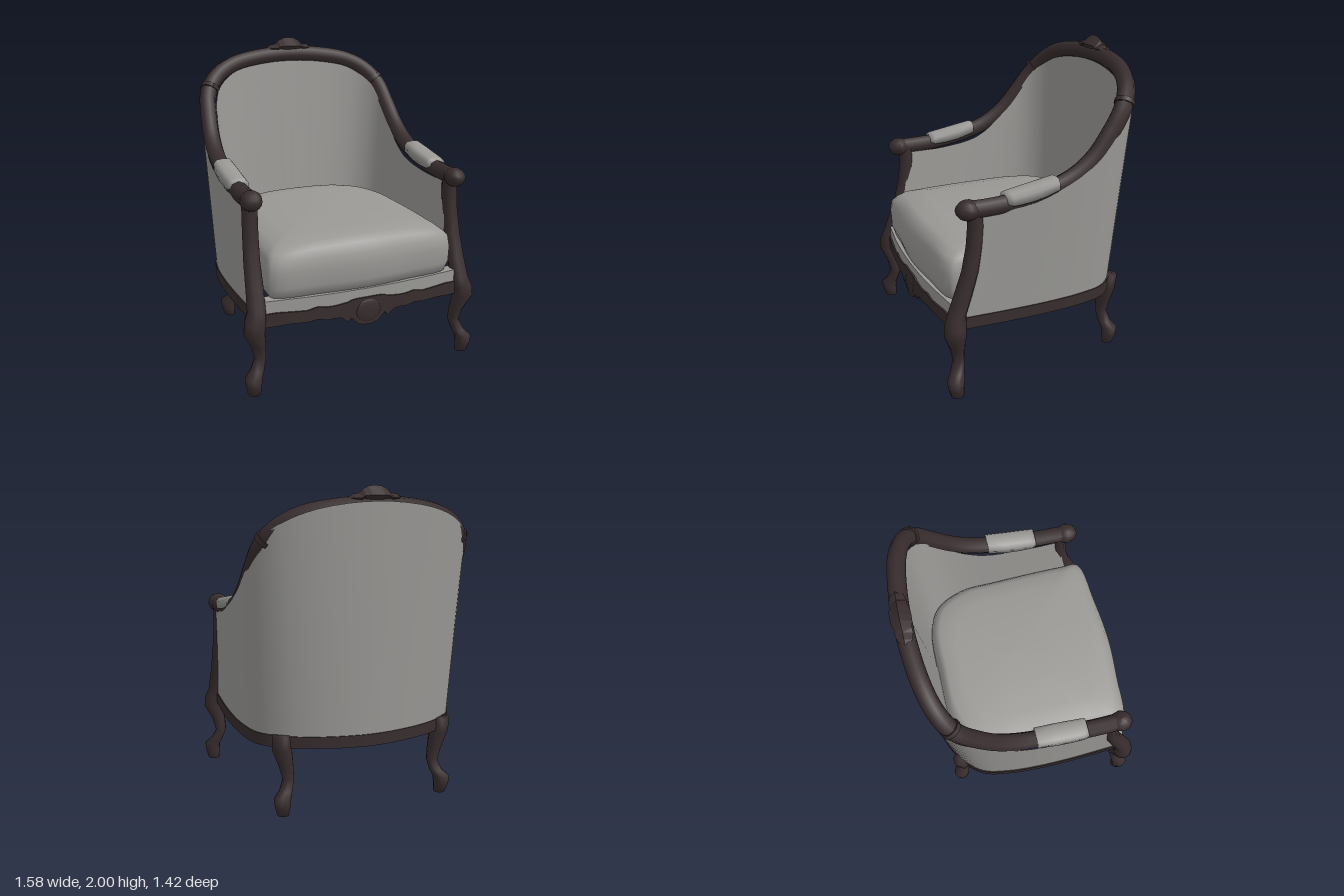
import * as THREE from 'three';

const wood = new THREE.MeshStandardMaterial({ color: 0x382d2e });
wood.name = 'dark wood';
const fabric = new THREE.MeshStandardMaterial({ color: 0x9a9996 });
fabric.name = 'grey fabric';

const V = (x, y, z) => new THREE.Vector3(x, y, z);

// Skin a list of equal-length rows of points
function skin(rows, closed) {
  const n = rows[0].length, index = [];
  for (let i = 0; i < rows.length - 1; i++) {
    for (let j = 0; j < (closed ? n : n - 1); j++) {
      const k = (j + 1) % n;
      const a = i * n + j, b = i * n + k, c = a + n, d = b + n;
      index.push(a, c, b, b, c, d);
    }
  }
  const geo = new THREE.BufferGeometry().setFromPoints(rows.flat());
  geo.setIndex(index);
  geo.computeVertexNormals();
  return geo;
}

// Hard-edged copy
function flat(geo) {
  const g = geo.toNonIndexed();
  g.computeVertexNormals();
  return g;
}

// Mirror an indexed geometry in x, keeping faces outward
function mirrored(geo) {
  const g = geo.clone().scale(-1, 1, 1);
  const idx = g.index.array;
  for (let i = 0; i < idx.length; i += 3) [idx[i], idx[i + 1]] = [idx[i + 1], idx[i]];
  g.computeVertexNormals();
  return g;
}

// Curve from the left front round the back to the right front; half ends at x = 0
function uCurve(half) {
  const left = half.map(p => V(...p));
  const right = half.slice(0, -1).reverse().map(([x, y, z]) => V(-x, y, z));
  return new THREE.CatmullRomCurve3([...left, ...right]);
}

// Upright limb from sections [y, x, z, radius]
function limb(sections) {
  return skin(sections.map(([y, x, z, r]) => Array.from({ length: 10 }, (_, j) => {
    const a = j / 10 * Math.PI * 2;
    return V(x + r * Math.cos(a), y, z + r * Math.sin(a));
  })), true);
}

// Carved strip across x: stations [x, ...] from left to the middle are mirrored,
// and section(station) gives a ring running top, front, bottom, back
function carving(stations, section) {
  const right = stations.slice(0, -1).reverse().map(([x, ...rest]) => [-x, ...rest]);
  return flat(skin([...stations, ...right].map(section), true));
}

export function createModel() {
  const chair = new THREE.Group();
  chair.name = 'armchair';
  const add = (name, geo, mat) => {
    const m = new THREE.Mesh(geo, mat);
    m.name = name;
    chair.add(m);
  };
  const pair = (name, geo, mat) => {
    add('left' + name, geo, mat);
    add('right' + name, mirrored(geo), mat);
  };

  // Continuous rail: arms sweeping up into the crown
  const rail = uCurve([
    [0.685, 1.18, 0.57], [0.69, 1.18, 0.42], [0.69, 1.19, 0.25], [0.69, 1.225, 0.05],
    [0.69, 1.285, -0.13], [0.685, 1.38, -0.27], [0.67, 1.52, -0.39], [0.64, 1.66, -0.49],
    [0.555, 1.765, -0.56], [0.42, 1.835, -0.605], [0.2, 1.875, -0.635], [0, 1.885, -0.643]]);
  add('armAndCrownRail', new THREE.TubeGeometry(rail, 96, 0.056, 8), wood);

  // Rounded arm ends and collars on the rail
  const end = new THREE.SphereGeometry(1, 10, 8).scale(0.068, 0.062, 0.075).translate(0.687, 1.18, 0.537);
  pair('ArmEnd', end, wood);
  const t = 7.25 / 22;
  const collar = new THREE.CylinderGeometry(0.064, 0.064, 0.03, 10);
  collar.applyQuaternion(new THREE.Quaternion().setFromUnitVectors(V(0, 1, 0), rail.getTangent(t)));
  const cp = rail.getPoint(t);
  pair('RailCollar', collar.translate(cp.x, cp.y, cp.z), wood);

  // Carved crest on the crown, stations [x, bottom, top, half depth]
  add('crest', carving([
    [0.175, 1.91, 1.925, 0], [0.14, 1.895, 1.95, 0.04], [0.1, 1.885, 1.955, 0.052], [0.075, 1.88, 1.98, 0.05],
    [0.04, 1.865, 1.995, 0.06], [0, 1.86, 2.0, 0.062]],
  ([x, lo, hi, d]) => [V(x, hi, -0.65), V(x, lo * 0.4 + hi * 0.6, -0.645 + d), V(x, lo, -0.635), V(x, lo * 0.4 + hi * 0.6, -0.645 - d)]), wood);

  // Front legs running up into the arm posts, and the back legs
  pair('FrontLegAndPost', limb([
    [0, 0.73, 0.64, 0], [0, 0.73, 0.64, 0.04], [0.06, 0.735, 0.65, 0.05], [0.11, 0.735, 0.65, 0.055],
    [0.15, 0.705, 0.63, 0.043], [0.22, 0.678, 0.61, 0.037], [0.3, 0.69, 0.62, 0.046],
    [0.4, 0.722, 0.642, 0.066], [0.47, 0.715, 0.638, 0.067], [0.53, 0.7, 0.625, 0.058],
    [0.65, 0.693, 0.58, 0.056], [0.8, 0.69, 0.53, 0.052], [0.95, 0.685, 0.5, 0.05],
    [1.08, 0.682, 0.487, 0.05], [1.17, 0.682, 0.49, 0.05]]), wood);
  pair('BackLeg', limb([
    [0, 0.54, -0.52, 0], [0, 0.54, -0.52, 0.037], [0.06, 0.545, -0.53, 0.05], [0.11, 0.545, -0.53, 0.055],
    [0.15, 0.517, -0.507, 0.043], [0.22, 0.495, -0.49, 0.037], [0.3, 0.508, -0.492, 0.046],
    [0.42, 0.535, -0.497, 0.063], [0.51, 0.545, -0.51, 0.055], [0.51, 0.545, -0.51, 0]]), wood);

  // Upholstered outer and inner shells
  const samples = half => uCurve(half).getPoints(64);
  const base = samples([
    [0.7, 0.5, 0.57], [0.715, 0.5, 0.25], [0.715, 0.5, 0], [0.7, 0.5, -0.2], [0.66, 0.5, -0.37],
    [0.58, 0.5, -0.47], [0.46, 0.5, -0.55], [0.27, 0.5, -0.62], [0, 0.5, -0.66]]);
  const outerTop = samples([
    [0.72, 1.16, 0.47], [0.74, 1.17, 0.2], [0.75, 1.25, -0.05], [0.74, 1.36, -0.25], [0.71, 1.58, -0.44],
    [0.655, 1.7, -0.54], [0.56, 1.79, -0.625], [0.36, 1.87, -0.69], [0, 1.91, -0.712]]);
  add('outerShell', skin([outerTop, base]), fabric);
  const innerBase = samples([
    [0.61, 0.52, 0.59], [0.605, 0.52, 0.25], [0.6, 0.52, 0], [0.585, 0.52, -0.2], [0.545, 0.52, -0.34],
    [0.48, 0.52, -0.43], [0.39, 0.52, -0.485], [0.24, 0.52, -0.51], [0, 0.52, -0.515]]);
  const innerTop = samples([
    [0.65, 1.14, 0.47], [0.645, 1.15, 0.2], [0.64, 1.2, -0.05], [0.635, 1.34, -0.24], [0.62, 1.52, -0.38],
    [0.58, 1.66, -0.47], [0.5, 1.74, -0.54], [0.33, 1.82, -0.6], [0, 1.84, -0.62]]);
  add('innerShell', skin([innerBase, innerTop]), fabric);

  // Seat rail following the sides and back
  const seatRail = base.map(p => [
    V(p.x * 1.01, 0.43, p.z * 1.01), V(p.x * 1.01, 0.505, p.z * 1.01),
    V(p.x * 0.94, 0.505, p.z * 0.94), V(p.x * 0.94, 0.43, p.z * 0.94)]);
  add('seatRail', flat(skin(seatRail, true)), wood);

  // Loose cushion, crowned on top
  const half = [[0, -0.53], [0.33, -0.52], [0.5, -0.44], [0.595, -0.25], [0.61, 0], [0.615, 0.5],
    [0.605, 0.63], [0.3, 0.675], [0, 0.695]];
  const outline = new THREE.CatmullRomCurve3([
    ...half.map(([x, z]) => V(x, 0, z)),
    ...half.slice(1, -1).reverse().map(([x, z]) => V(-x, 0, z))], true, 'centripetal').getPoints(80).slice(0, -1);
  const ring = (scale, y, crown = 0) => outline.map(p => {
    const x = p.x * scale, z = p.z * scale;
    return V(x, y - crown * (x * x / 0.37 + Math.max(0, z) ** 2 * 0.8), z);
  });
  add('cushion', skin([
    ring(0, 0.56), ring(0.88, 0.565), ring(0.97, 0.585), ring(1, 0.65), ring(1.005, 0.75), ring(0.99, 0.82),
    ring(0.95, 0.895, 0.04), ring(0.88, 0.93, 0.045), ring(0.7, 0.937, 0.035), ring(0.35, 0.942, 0.03), ring(0, 0.942)],
  true), fabric);

  // Bowed box section shared by the seat edge and the apron, stations [x, bottom, top]
  const bowed = (front, depth) => ([x, lo, hi]) => {
    const z = front - 0.05 * (x / 0.65) ** 2;
    return [V(x, hi, z), V(x, lo, z), V(x, lo, z - depth), V(x, hi, z - depth)];
  };
  add('seatEdge', carving([[0.65, 0.48, 0.585], [0.4, 0.48, 0.585], [0.2, 0.48, 0.585], [0, 0.48, 0.585]],
    bowed(0.692, 0.08)), fabric);

  // Scalloped apron with a carved shell in the middle
  add('frontApron', carving([
    [0.68, 0.42, 0.505], [0.58, 0.425, 0.51], [0.5, 0.43, 0.505], [0.4, 0.425, 0.5], [0.33, 0.435, 0.515],
    [0.27, 0.42, 0.505], [0.23, 0.425, 0.505], [0.18, 0.42, 0.51], [0.135, 0.385, 0.515], [0.115, 0.41, 0.525],
    [0.07, 0.365, 0.53], [0.03, 0.35, 0.53], [0, 0.35, 0.53]], bowed(0.702, 0.055)), wood);
  add('apronShell', new THREE.SphereGeometry(1, 10, 8).scale(0.09, 0.08, 0.015).translate(0, 0.44, 0.697), wood);

  // Domed arm pads, stations [z, bottom, top, half width]
  const pad = skin([
    [-0.02, 1.28, 1.28, 0], [-0.02, 1.24, 1.31, 0.062], [0.1, 1.205, 1.29, 0.066], [0.2, 1.19, 1.272, 0.066],
    [0.28, 1.185, 1.258, 0.064], [0.31, 1.2, 1.25, 0.06], [0.31, 1.22, 1.22, 0]].map(([z, lo, hi, w]) =>
    [[-1, 0], [-1, 0.6], [-0.7, 0.92], [0, 1], [0.7, 0.92], [1, 0.6], [1, 0]].map(
      ([u, v]) => V(0.688 - u * w, lo + v * (hi - lo), z)).reverse()), true);
  pair('ArmPad', pad, fabric);

  return chair;
}
